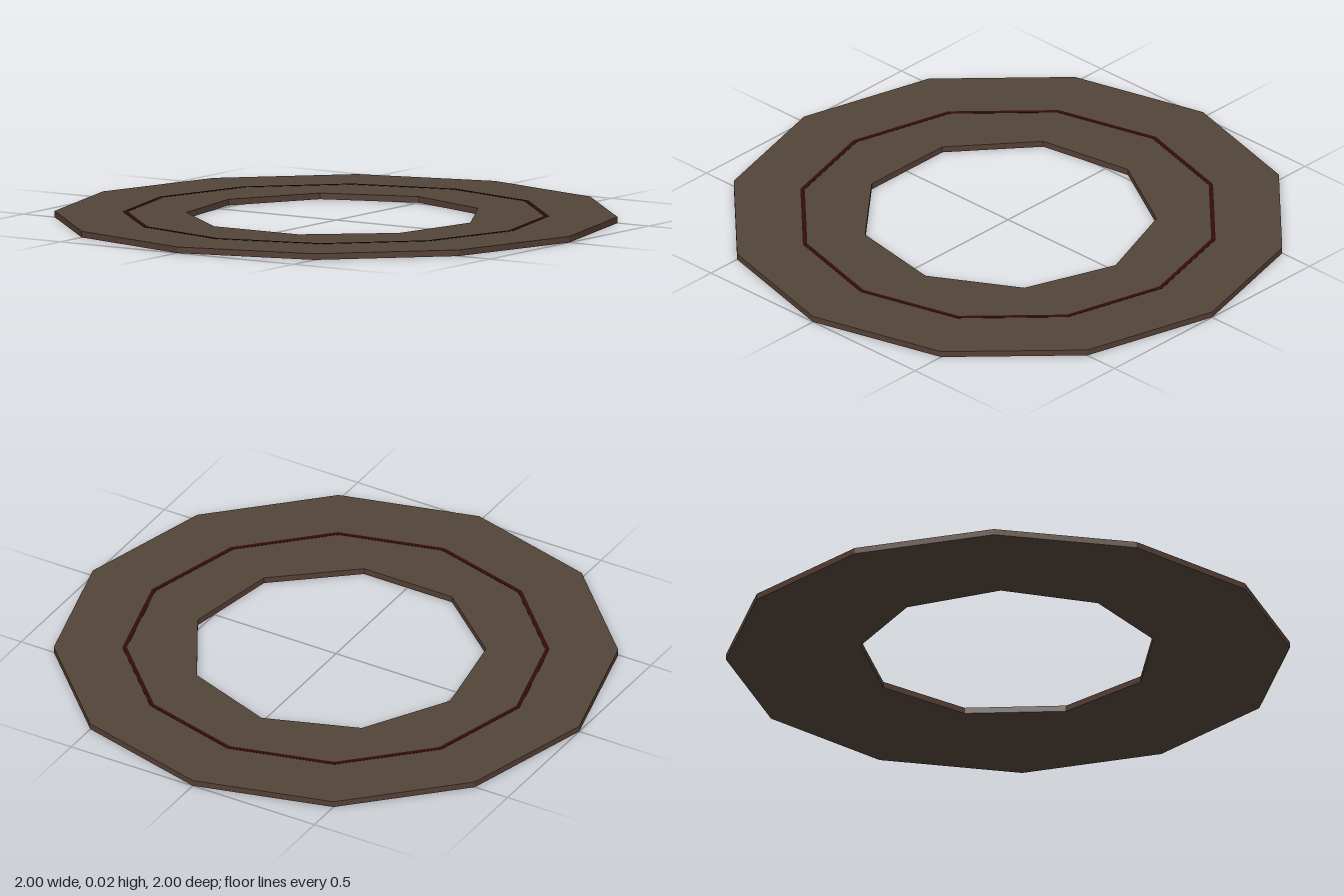
import * as THREE from 'three';

const THICKNESS = 0.022;

// Regular polygon outline with its first corner pointing to the back (-z once laid flat)
function polygon(sides, radius, cx = 0, cy = 0) {
  const points = [];
  for (let i = 0; i < sides; i++) {
    const a = Math.PI / 2 + (i / sides) * Math.PI * 2;
    points.push(new THREE.Vector2(cx + radius * Math.cos(a), cy + radius * Math.sin(a)));
  }
  return points;
}

// Flat ring lying on the ground plane, cut by a polygonal hole
function flatRing(outline, hole, depth) {
  const shape = new THREE.Shape(outline);
  shape.holes.push(new THREE.Path(hole));
  const geometry = new THREE.ExtrudeGeometry(shape, { depth, bevelEnabled: false });
  return geometry.rotateX(-Math.PI / 2);
}

function material(name, color) {
  const m = new THREE.MeshStandardMaterial({ color });
  m.name = name;
  return m;
}

export function createModel() {
  const group = new THREE.Group();
  group.name = 'ringPlate';
  const brown = material('brown', 0x524438);
  const rimBrown = material('rimBrown', 0x553f35);
  const darkRed = material('darkRed', 0x330b0d);

  // Twelve-sided slab with a nine-sided opening: caps, then walls
  const slab = new THREE.Mesh(
    flatRing(polygon(12, 1), polygon(9, 0.527, -0.003, -0.003), THICKNESS),
    [brown, rimBrown]
  );
  slab.name = 'slab';
  group.add(slab);

  // Thin painted line around the top
  const line = new THREE.Mesh(flatRing(polygon(12, 0.757), polygon(12, 0.741), 0.002), darkRed);
  line.name = 'inlayLine';
  line.position.y = THICKNESS - 0.001;
  group.add(line);

  return group;
}
